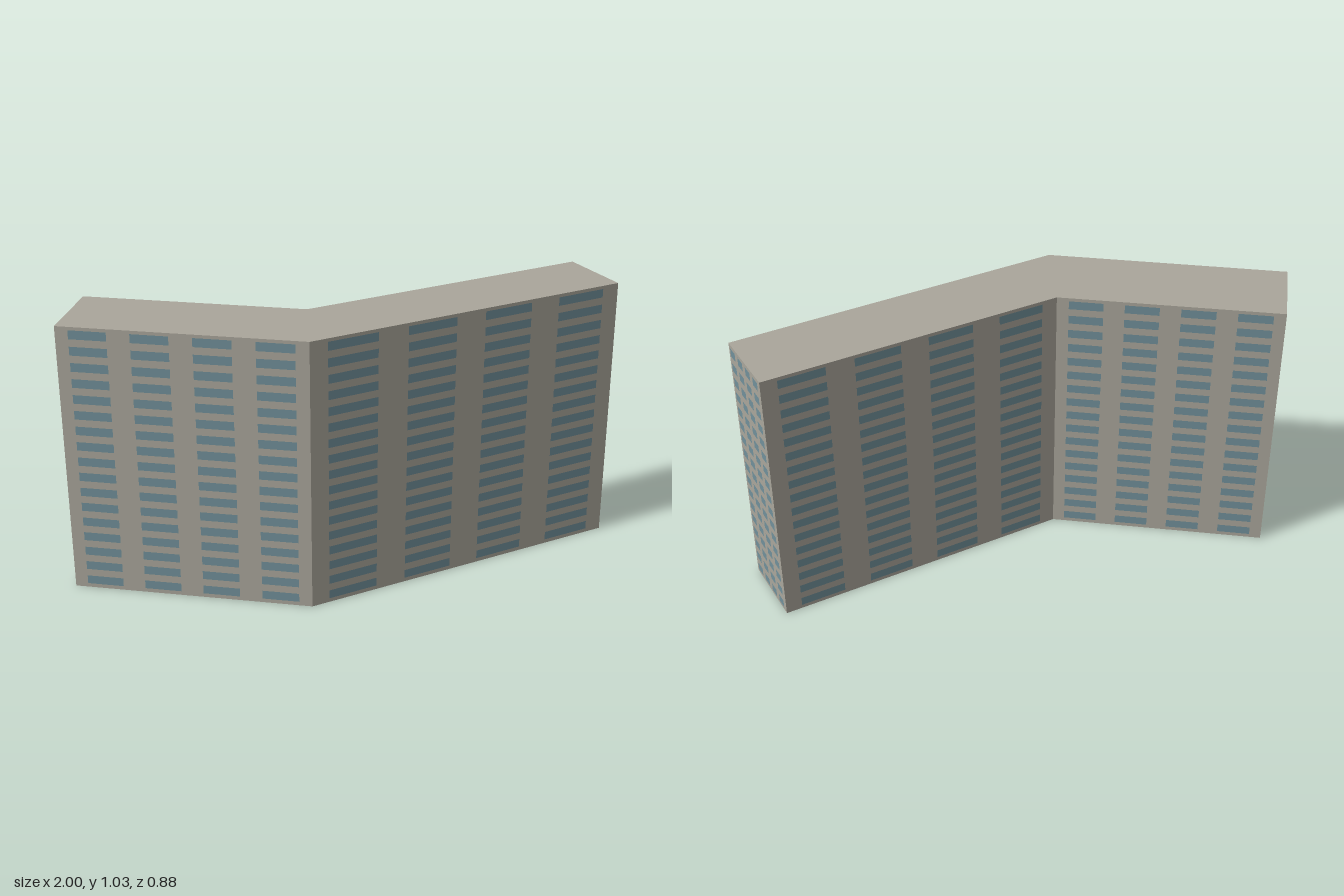
import * as THREE from 'three';
import { mergeGeometries } from 'three/addons/utils/BufferGeometryUtils.js';

const HEIGHT = 1.031;
const ROWS = 17;
const COLUMNS = 4;

// Bent slab plan as [x, z], running along the front and back along the rear
const PLAN = [
  [-1, 0.317], [-0.113, 0.439], [1, -0.194],
  [0.857, -0.441], [-0.139, 0.123], [-0.957, 0.012],
];
const WALL_NAMES = ['frontLeftWing', 'frontRightWing', 'rightEnd', 'backRightWing', 'backLeftWing', 'leftEnd'];

// Window grid of one facade, lying just in front of the wall plane
function windowGrid(length, isEnd) {
  const pitch = length * (isEnd ? 0.2415 : 0.2465);
  const width = length * 0.153;
  const rowPitch = HEIGHT / ROWS;
  const panes = [];
  for (let row = 0; row < ROWS; row++) {
    for (let col = 0; col < COLUMNS; col++) {
      const pane = new THREE.PlaneGeometry(width, 0.033);
      pane.translate((col - (COLUMNS - 1) / 2) * pitch, 0.0325 + row * rowPitch, 0.002);
      panes.push(pane);
    }
  }
  return mergeGeometries(panes);
}

export function createModel() {
  const model = new THREE.Group();
  model.name = 'bentApartmentBlock';
  const concrete = new THREE.MeshStandardMaterial({ color: 0xaaa69b, side: THREE.DoubleSide });
  concrete.name = 'concrete';
  const glass = new THREE.MeshStandardMaterial({ color: 0x71909a });
  glass.name = 'blueGlass';

  // Six facades, each a wall with its windows
  PLAN.forEach(([ax, az], i) => {
    const [bx, bz] = PLAN[(i + 1) % PLAN.length];
    const length = Math.hypot(bx - ax, bz - az);
    const facade = new THREE.Group();
    facade.name = WALL_NAMES[i];
    facade.position.set((ax + bx) / 2, 0, (az + bz) / 2);
    facade.rotation.y = Math.atan2(az - bz, bx - ax);

    const wall = new THREE.Mesh(new THREE.PlaneGeometry(length, HEIGHT).translate(0, HEIGHT / 2, 0), concrete);
    wall.name = 'wall';
    const windows = new THREE.Mesh(windowGrid(length, i % 3 === 2), glass);
    windows.name = 'windows';
    facade.add(wall, windows);
    model.add(facade);
  });

  // Flat roof; the underside stays open
  const outline = new THREE.Shape(PLAN.map(([x, z]) => new THREE.Vector2(x, -z)));
  const roof = new THREE.Mesh(new THREE.ShapeGeometry(outline).rotateX(-Math.PI / 2), concrete);
  roof.name = 'roof';
  roof.position.y = HEIGHT;
  model.add(roof);

  return model;
}
